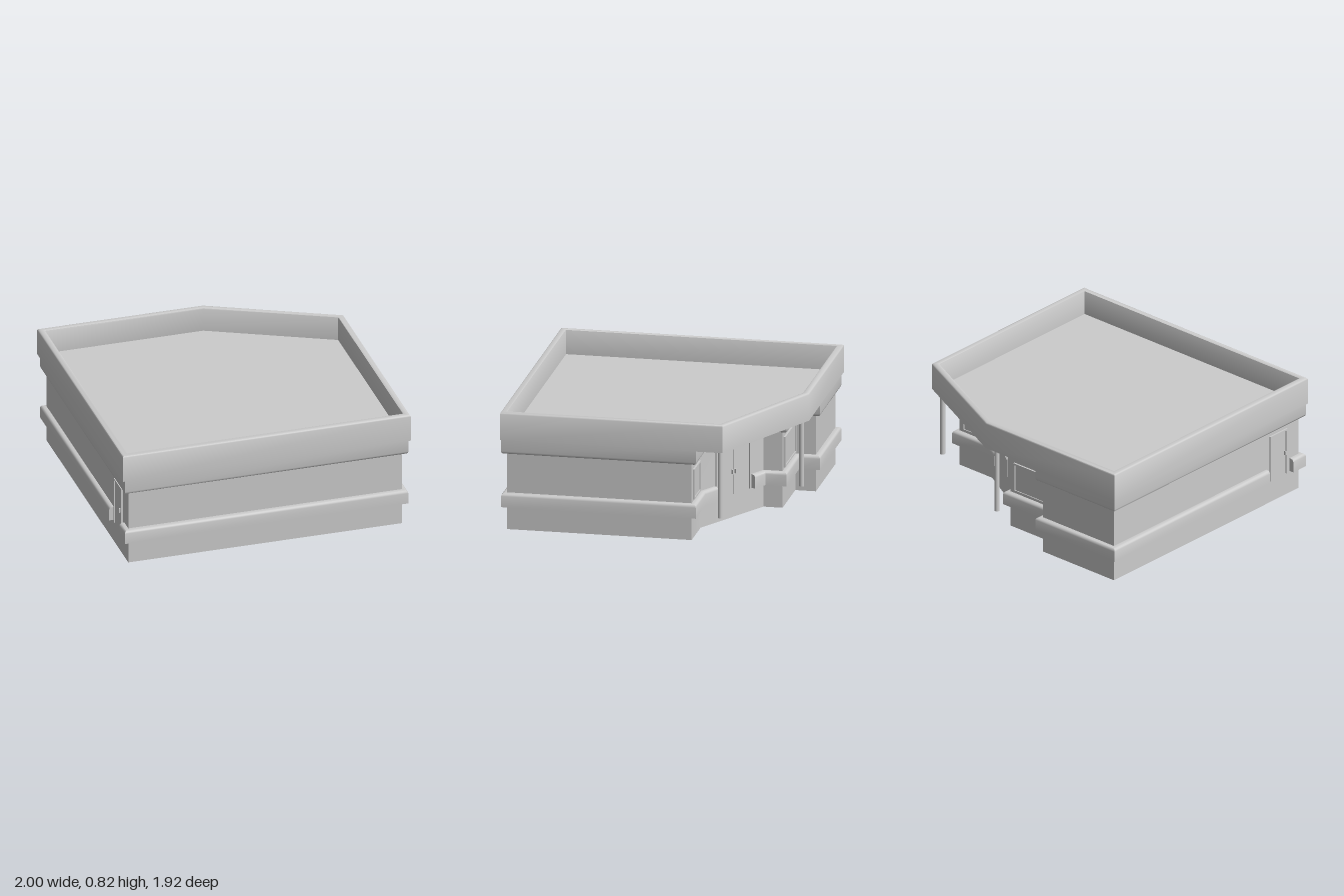
import * as THREE from 'three';
import { toCreasedNormals } from 'three/addons/utils/BufferGeometryUtils.js';

const material = new THREE.MeshStandardMaterial({ color: 0xcccccc, side: THREE.DoubleSide });

function addMesh(parent, name, geometry, x = 0, y = 0, z = 0) {
  const mesh = new THREE.Mesh(geometry, material);
  mesh.name = name;
  mesh.position.set(x, y, z);
  parent.add(mesh);
  return mesh;
}

// Mitred outward direction at each corner of a plan path [x, z], counterclockwise from above
function miters(path, closed) {
  const n = path.length;
  const normal = (i) => {
    const a = path[(i + n) % n], b = path[(i + 1) % n];
    const dx = b[0] - a[0], dz = b[1] - a[1], l = Math.hypot(dx, dz);
    return [-dz / l, dx / l];
  };
  return path.map((_, i) => {
    const p = normal(!closed && i === 0 ? 0 : i - 1);
    const q = normal(!closed && i === n - 1 ? i - 1 : i);
    const k = 1 + p[0] * q[0] + p[1] * q[1];
    return [(p[0] + q[0]) / k, (p[1] + q[1]) / k];
  });
}

// Sweeps a profile of [outward offset, height] along a plan path
function sweep(profile, path, closed) {
  const m = miters(path, closed);
  const rings = path.map((p, i) =>
    profile.map(([o, y]) => [p[0] + m[i][0] * o, y, p[1] + m[i][1] * o]));
  const pos = [];
  const tri = (a, b, c) => pos.push(...a, ...b, ...c);
  const n = rings.length;
  for (let i = 0; i < (closed ? n : n - 1); i++) {
    const r = rings[i], s = rings[(i + 1) % n];
    for (let j = 0; j < profile.length - 1; j++) {
      tri(r[j], s[j], s[j + 1]);
      tri(r[j], s[j + 1], r[j + 1]);
    }
  }
  // End caps
  if (!closed) {
    const a = rings[0], b = rings[n - 1];
    for (let j = 1; j < profile.length - 1; j++) {
      tri(a[0], a[j], a[j + 1]);
      tri(b[0], b[j + 1], b[j]);
    }
  }
  const g = new THREE.BufferGeometry();
  g.setAttribute('position', new THREE.Float32BufferAttribute(pos, 3));
  return toCreasedNormals(g, 0.7);
}

// Framed door or window facing local +z, its sill at local y = 0
function opening(parent, name, x, y, z, angle, w, h, leaves, isDoor) {
  const g = new THREE.Group();
  g.name = name;
  g.position.set(x, y, z);
  g.rotation.y = angle;
  parent.add(g);
  const t = 0.012, depth = 0.024;
  for (const s of [-1, 1]) {
    addMesh(g, 'frameSide', new THREE.BoxGeometry(t, h, depth), s * (w - t) / 2, h / 2, 0);
  }
  addMesh(g, 'frameTop', new THREE.BoxGeometry(w, t, depth), 0, h - t / 2, 0);
  if (!isDoor) addMesh(g, 'frameSill', new THREE.BoxGeometry(w, t, depth), 0, t / 2, 0);
  const lw = (w - 2 * t) / leaves;
  for (let i = 0; i < leaves; i++) {
    const cx = (i - (leaves - 1) / 2) * lw;
    addMesh(g, isDoor ? 'doorLeaf' : 'pane',
      new THREE.BoxGeometry(lw - 0.006, h - t, 0.012), cx, (h - t) / 2, 0);
    if (isDoor) {
      const side = leaves > 1 && i > 0 ? -1 : 1;
      addMesh(g, 'handle', new THREE.BoxGeometry(0.008, 0.03, 0.016),
        cx + side * (lw / 2 - 0.014), h * 0.48, 0.012);
    }
  }
}

export function createModel() {
  const model = new THREE.Group();
  model.name = 'building';

  // Walls with a stepped entrance recess at the cut corner
  const frontRun = [[-0.95, 0.92], [0.95, 0.92], [0.95, -0.33], [0.66, -0.33]];
  const backRun = [[0.1, -0.64], [0.1, -0.77], [-0.315, -0.77], [-0.315, -0.91], [-0.95, -0.91]];
  const walls = [...frontRun, ...backRun];
  addMesh(model, 'walls', sweep([[0, 0], [0, 0.635]], walls, true));

  // Cornice runs all round under the roof
  const cornice = [[0, 0.53], [0.024, 0.53], [0.032, 0.536], [0.035, 0.548], [0.035, 0.632]];
  addMesh(model, 'cornice', sweep(cornice, walls, true));

  // Lower band is broken by the two doors
  const band = [[0, 0.16], [0.035, 0.16], [0.035, 0.235], [0.032, 0.245], [0.024, 0.252],
    [0.012, 0.255], [0, 0.255]];
  addMesh(model, 'frontBand', sweep(band, [[-0.95, 0.83], ...frontRun, [0.535, -0.399]], false));
  addMesh(model, 'backBand', sweep(band, [[0.21, -0.579], ...backRun, [-0.95, 0.6]], false));

  // Roof slab and parapet
  const roof = [[-1, 0.96], [1, 0.96], [1, -0.55], [0.15, -0.96], [-1, -0.96]];
  const m = miters(roof, true);
  const slab = new THREE.Shape(roof.map(([x, z], i) =>
    new THREE.Vector2(x - m[i][0] * 0.03, -(z - m[i][1] * 0.03))));
  const slabGeometry = new THREE.ExtrudeGeometry(slab, { depth: 0.02, bevelEnabled: false });
  slabGeometry.rotateX(-Math.PI / 2);
  addMesh(model, 'roofSlab', slabGeometry, 0, 0.63, 0);
  const parapet = [[-0.045, 0.63], [0, 0.63], [0, 0.808], [-0.004, 0.816], [-0.012, 0.82],
    [-0.035, 0.82], [-0.042, 0.817], [-0.045, 0.81], [-0.045, 0.65]];
  addMesh(model, 'parapet', sweep(parapet, roof, true));

  // Columns under the roof overhang
  for (const [x, z] of [[0.93, -0.52], [0.104, -0.9]]) {
    addMesh(model, 'column', new THREE.CylinderGeometry(0.017, 0.017, 0.475, 20), x, 0.3975, z);
  }

  // Doors and recess windows
  opening(model, 'entranceDoors', 0.374, 0.16, -0.488, Math.atan2(0.484, -0.875), 0.353, 0.33, 2, true);
  opening(model, 'sideDoor', -0.95, 0.16, 0.715, -Math.PI / 2, 0.17, 0.33, 1, true);
  opening(model, 'sideWindow', 0.81, 0.27, -0.33, Math.PI, 0.21, 0.21, 1, false);
  opening(model, 'backWindow', -0.115, 0.27, -0.77, Math.PI, 0.36, 0.21, 1, false);

  return model;
}
